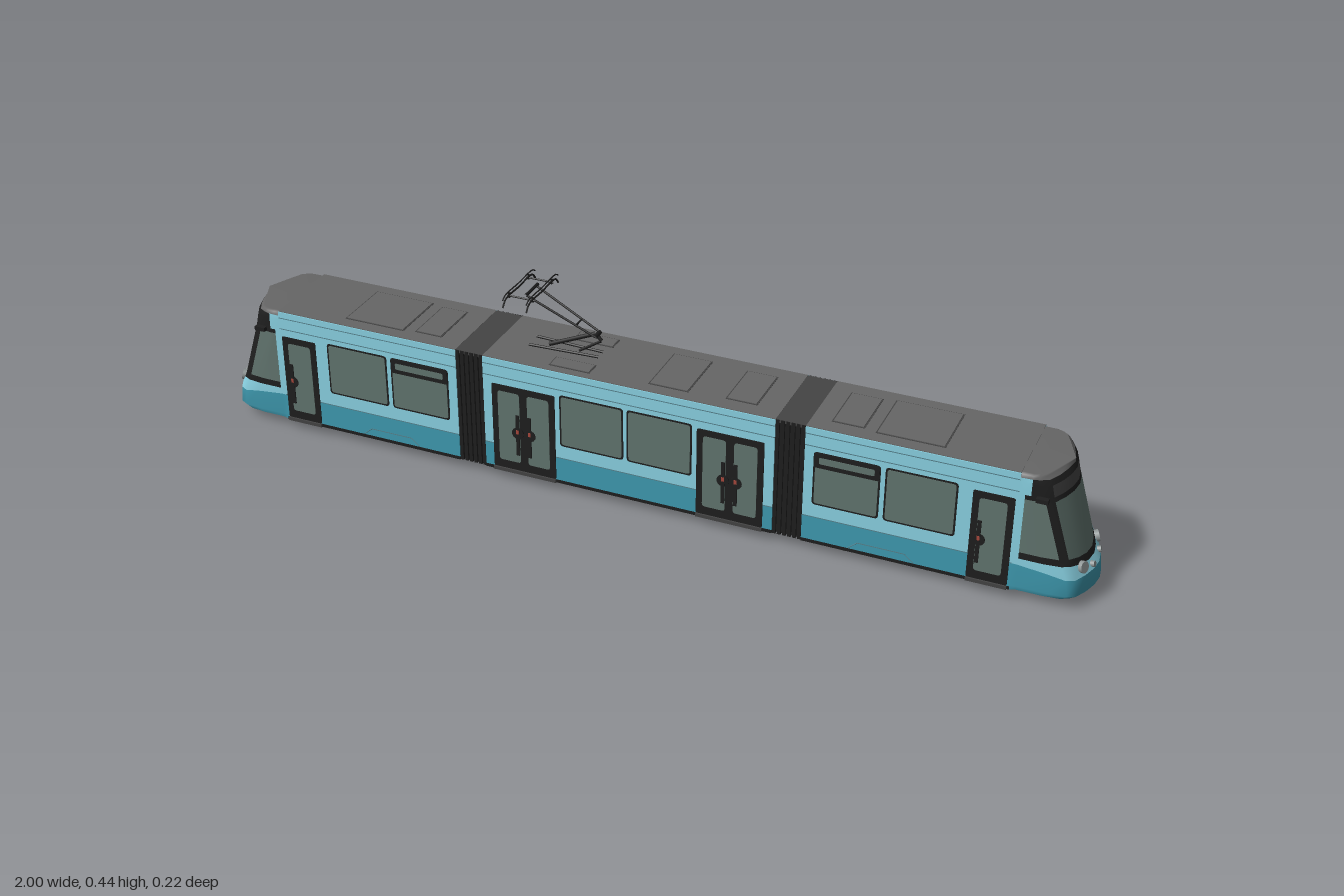
import * as THREE from 'three';
import { mergeVertices } from 'three/addons/utils/BufferGeometryUtils.js';

const mat = (color, side = THREE.FrontSide) => new THREE.MeshStandardMaterial({ color, side });
const M = {
  light: mat(0x8ad3e4), teal: mat(0x3f9bb1), black: mat(0x1e1e1e), glass: mat(0x62756f),
  roof: mat(0x666666), dark: mat(0x444444), trim: mat(0x55818c), lamp: mat(0x8f9696), red: mat(0xa8483c),
};

function add(parent, name, geometry, material) {
  const m = new THREE.Mesh(geometry, material);
  m.name = name;
  parent.add(m);
  return m;
}

// Box given by its limits on each axis
function box(parent, name, material, x0, x1, y0, y1, z0, z1) {
  const m = add(parent, name, new THREE.BoxGeometry(x1 - x0, y1 - y0, z1 - z0), material);
  m.position.set((x0 + x1) / 2, (y0 + y1) / 2, (z0 + z1) / 2);
  return m;
}

// Straight round bar between two points
function rod(parent, name, a, b, r, material = M.black) {
  const path = new THREE.LineCurve3(new THREE.Vector3(...a), new THREE.Vector3(...b));
  return add(parent, name, new THREE.TubeGeometry(path, 1, r, 8), material);
}

// Rounded panel on the +z wall, its outer face at z
function pane(parent, name, material, x0, x1, y0, y1, z, r = 0.008) {
  const s = new THREE.Shape();
  s.moveTo(x0 + r, y0);
  s.lineTo(x1 - r, y0); s.quadraticCurveTo(x1, y0, x1, y0 + r);
  s.lineTo(x1, y1 - r); s.quadraticCurveTo(x1, y1, x1 - r, y1);
  s.lineTo(x0 + r, y1); s.quadraticCurveTo(x0, y1, x0, y1 - r);
  s.lineTo(x0, y0 + r); s.quadraticCurveTo(x0, y0, x0 + r, y0);
  const g = new THREE.ExtrudeGeometry(s, { depth: z - 0.098, bevelEnabled: false, curveSegments: 4 });
  return add(parent, name, g.translate(0, 0, 0.098), material);
}

function sideWindow(parent, x0, x1, hopper) {
  pane(parent, 'windowFrame', M.black, x0, x1, 0.117, 0.243, 0.1007);
  pane(parent, 'windowGlass', M.glass, x0 + 0.004, x1 - 0.004, 0.121, 0.239, 0.1014, 0.006);
  if (hopper) {
    pane(parent, 'hopperFrame', M.black, x0 + 0.002, x1 - 0.002, 0.207, 0.241, 0.102, 0.005);
    pane(parent, 'hopperGlass', M.glass, x0 + 0.012, x1 - 0.012, 0.217, 0.232, 0.1026, 0.004);
  }
}

function door(parent, x0, x1, leaves) {
  const g = new THREE.Group();
  g.name = 'door';
  parent.add(g);
  pane(g, 'doorFrame', M.black, x0, x1, 0.03, 0.237, 0.1015, 0.004);
  box(g, 'doorStep', M.dark, x0, x1, 0.022, 0.03, 0.095, 0.105);
  const w = (x1 - x0 - 0.01) / leaves;
  for (let i = 0; i < leaves; i++) {
    const a = x0 + 0.005 + i * w;
    pane(g, 'doorGlass', M.glass, a + 0.009, a + w - 0.009, 0.05, 0.222, 0.1022, 0.007);
    const h = leaves === 1 || i === 1 ? a + 0.014 : a + w - 0.014;
    box(g, 'doorHandle', M.black, h - 0.004, h + 0.004, 0.07, 0.17, 0.1, 0.1045);
    const d = add(g, 'handlePlate', new THREE.CylinderGeometry(0.014, 0.014, 0.004, 16), M.black);
    d.rotation.x = Math.PI / 2;
    d.position.set(h, 0.125, 0.102);
    box(g, 'doorButton', M.red, h - 0.003, h + 0.003, 0.124, 0.134, 0.1, 0.1052);
  }
}

// Everything mounted on one long wall
function createSide() {
  const g = new THREE.Group();
  g.name = 'sideFittings';
  for (const s of [-1, 1]) {
    const span = (f, a, b, ...rest) => f(g, Math.min(s * a, s * b), Math.max(s * a, s * b), ...rest);
    span(door, 0.75, 0.835, 1);
    span(sideWindow, 0.57, 0.72, false);
    span(sideWindow, 0.418, 0.56, true);
    span(door, 0.163, 0.312, 2);
    span(sideWindow, 0.004, 0.152, false);
    // Skirt panel over the bogie
    box(g, 'skirtSeam', M.trim, s * 0.57 - 0.05, s * 0.57 + 0.05, 0.046, 0.048, 0.099, 0.1005);
    for (const e of [-1, 1]) rod(g, 'skirtSeam', [s * 0.57 + e * 0.05, 0.047, 0.1], [s * 0.57 + e * 0.07, 0.03, 0.1], 0.001, M.trim);
  }
  for (const [x0, x1] of SECTIONS) {
    for (const y of [0.254, 0.281]) box(g, 'trimLine', M.trim, x0, x1, y, y + 0.0018, 0.099, 0.1006);
    box(g, 'waistLine', M.trim, x0, x1, 0.085, 0.0868, 0.099, 0.1006);
  }
  return g;
}

const SECTIONS = [[-0.84, -0.398], [-0.333, 0.333], [0.398, 0.84]];

// Cab shell: rings of [height, nose x, width scale], each ring following one plan outline
const RINGS = [[0.022, 0.986, 0.96], [0.032, 1, 0.99], [0.07, 0.995, 1], [0.1, 0.983, 1], [0.115, 0.977, 1],
  [0.24, 0.938, 1], [0.25, 0.935, 1], [0.276, 0.929, 1], [0.287, 0.922, 0.99], [0.294, 0.9, 0.97], [0.297, 0.86, 0.92]];
const PLAN = [[0, 0.1], [0, 0.1], [-0.08, 0.1], [-0.045, 0.096], [-0.028, 0.087], [-0.014, 0.06], [-0.004, 0.03], [0, 0]];
const LAST = 2 * PLAN.length - 2;

function cabPoint(r, c) {
  const k = Math.min(c, LAST - c);
  const [h, nose, scale] = RINGS[r];
  const [dx, hz] = PLAN[k];
  const back = 0.84 + k * 0.012;
  let y = h;
  if (r === 2 && k < 3) y = [0.085, 0.085, 0.078][k];
  if ((r === 3 || r === 4) && k > 3) y -= 0.013 * (1 - (hz / 0.087) ** 2);
  const z = (k === 0 && r < 9 ? hz : hz * scale) * (c < PLAN.length ? 1 : -1);
  return [k < 2 ? back : Math.max(back, nose + dx), y, z];
}

function cabPart(r, c) {
  const k = Math.min(c, LAST - 1 - c);
  if (r < 2) return ['cabLowerPanel', M.teal];
  if (r === 2 || (r < 8 && k < 1)) return ['cabUpperPanel', M.light];
  if (r === 4 && k < 3) return ['cabSideWindow', M.glass];
  if (r === 4 && k > 3) return ['windscreen', M.glass];
  if (r > 5 && r < 8 && k < 2) return ['cabUpperPanel', M.light];
  if (r === 6 && k > 3) return ['signPanel', M.dark];
  return r < 8 ? ['cabSurround', M.black] : ['cabRoof', M.roof];
}

function createCab() {
  const g = new THREE.Group();
  g.name = 'cab';
  const parts = new Map();
  const push = ([name, material], ...pts) => {
    if (!parts.has(name)) parts.set(name, { material, data: [] });
    for (const p of pts) parts.get(name).data.push(...p);
  };
  const top = RINGS.length - 1;
  for (let c = 0; c < LAST; c++) {
    for (let r = 0; r < top; r++) {
      const a = cabPoint(r, c), b = cabPoint(r, c + 1), d = cabPoint(r + 1, c + 1), e = cabPoint(r + 1, c);
      push(cabPart(r, c), a, b, d, a, d, e);
    }
    push(['cabRoof', M.roof], [0.84, 0.297, 0], cabPoint(top, c), cabPoint(top, c + 1));
    push(['cabFloor', M.black], [0.84, 0.022, 0], cabPoint(0, c + 1), cabPoint(0, c));
  }
  for (const [name, { material, data }] of parts) {
    let geo = new THREE.BufferGeometry();
    geo.setAttribute('position', new THREE.Float32BufferAttribute(data, 3));
    geo = mergeVertices(geo, 1e-5);
    geo.computeVertexNormals();
    add(g, name, geo, mat(material.color.getHex(), THREE.DoubleSide));
  }
  // Lamps and side cameras
  for (const s of [-1, 1]) {
    for (const [x, y, z, r, yaw] of [[0.973, 0.088, 0.06, 0.0125, 0.4], [0.986, 0.079, 0.028, 0.0065, 0.15]]) {
      const lamp = add(g, 'headlight', new THREE.CylinderGeometry(r, r, 0.012, 20).rotateZ(-Math.PI / 2), M.lamp);
      lamp.position.set(x, y, s * z);
      lamp.rotation.set(0, -s * yaw, 0.25, 'YXZ');
    }
    box(g, 'sideCamera', M.black, 0.875, 0.9, 0.243, 0.252, s * 0.103 - 0.006, s * 0.103 + 0.006);
  }
  return g;
}

function createBogie(x) {
  const g = new THREE.Group();
  g.name = 'bogie';
  for (const s of [-1, 1]) {
    box(g, 'bogieRail', M.dark, -0.13, 0.13, 0.012, 0.022, s * 0.052 - 0.005, s * 0.052 + 0.005);
    box(g, 'bogieCrossbar', M.dark, s * 0.125 - 0.005, s * 0.125 + 0.005, 0.013, 0.022, -0.055, 0.055);
    rod(g, 'axle', [s * 0.088, 0.026, -0.06], [s * 0.088, 0.026, 0.06], 0.006);
    for (const t of [-1, 1]) {
      const w = add(g, 'wheel', new THREE.CylinderGeometry(0.026, 0.026, 0.011, 24).rotateX(Math.PI / 2), M.dark);
      w.position.set(s * 0.088, 0.026, t * 0.066);
    }
    box(g, 'trackBrake', M.black, -0.05, 0.05, 0.009, 0.022, s * 0.07 - 0.005, s * 0.07 + 0.005);
  }
  g.position.x = x;
  return g;
}

function createPantograph() {
  const g = new THREE.Group();
  g.name = 'pantograph';
  for (const s of [-1, 1]) {
    rod(g, 'baseRail', [-0.26, 0.301, s * 0.02], [-0.1, 0.301, s * 0.012], 0.003);
    rod(g, 'upperArm', [-0.105, 0.347, s * 0.012], [-0.26, 0.421, s * 0.024], 0.0025);
    rod(g, 'headLink', [-0.295, 0.425, s * 0.046], [-0.23, 0.425, s * 0.046], 0.002);
  }
  rod(g, 'lowerArm', [-0.22, 0.301, 0], [-0.11, 0.35, 0], 0.005);
  rod(g, 'couplingRod', [-0.15, 0.3, 0], [-0.097, 0.335, 0], 0.003);
  rod(g, 'kneeLink', [-0.097, 0.335, 0], [-0.112, 0.35, 0], 0.004);
  rod(g, 'kneeShaft', [-0.108, 0.347, -0.014], [-0.108, 0.347, 0.014], 0.005);
  rod(g, 'armBrace', [-0.15, 0.3685, -0.015], [-0.15, 0.3685, 0.015], 0.002);
  rod(g, 'headShaft', [-0.26, 0.423, -0.03], [-0.26, 0.423, 0.03], 0.0035);
  // Contact strips with horns bent down at the ends
  for (const x of [-0.29, -0.235]) {
    const bar = (name, pts, r) => add(g, name, new THREE.TubeGeometry(
      new THREE.CatmullRomCurve3(pts.map(([y, z]) => new THREE.Vector3(x, y, z))), 28, r, 6), M.black);
    bar('contactStrip', [[0.427, -0.078], [0.434, -0.066], [0.434, 0], [0.434, 0.066], [0.427, 0.078]], 0.0015);
    bar('hornBar', [[0.41, -0.078], [0.424, -0.064], [0.425, 0], [0.424, 0.064], [0.41, 0.078]], 0.002);
    for (const z of [-0.046, 0.046]) rod(g, 'stripPost', [x, 0.421, z], [x, 0.434, z], 0.0025);
  }
  return g;
}

export function createModel() {
  const tram = new THREE.Group();
  tram.name = 'tram';
  // Three body sections
  for (const [x0, x1] of SECTIONS) {
    box(tram, 'floor', M.black, x0, x1, 0.021, 0.029, -0.1, 0.1);
    box(tram, 'lowerBody', M.teal, x0, x1, 0.029, 0.086, -0.1, 0.1);
    box(tram, 'upperBody', M.light, x0, x1, 0.086, 0.2965, -0.1, 0.1);
    box(tram, 'roof', M.roof, x0, x1, 0.2965, 0.298, -0.098, 0.098);
  }
  // Folded gangways
  for (const s of [-1, 1]) {
    box(tram, 'gangwayCore', M.black, s * 0.3655 - 0.0335, s * 0.3655 + 0.0335, 0.024, 0.292, -0.094, 0.094);
    for (let i = 0; i < 6; i++) {
      const x = s * 0.3655 + (i - 2.5) * 0.0112;
      box(tram, 'gangwayFold', M.black, x - 0.0038, x + 0.0038, 0.022, 0.297, -0.099, 0.099);
    }
    box(tram, 'gangwayRoof', M.dark, s * 0.3655 - 0.0335, s * 0.3655 + 0.0335, 0.29, 0.2975, -0.097, 0.097);
    tram.add(createBogie(s * 0.572));
    const cab = createCab(), side = createSide();
    cab.rotation.y = side.rotation.y = s > 0 ? 0 : Math.PI;
    tram.add(cab, side);
  }
  // Roof hatches, each on a dark rim
  const hatches = [[-0.685, -0.54, -0.07, 0.07], [-0.515, -0.45, -0.063, 0.063], [-0.185, -0.09, -0.08, -0.042],
    [-0.185, -0.09, 0.042, 0.08], [0.04, 0.13, -0.07, 0.07], [0.21, 0.28, -0.063, 0.063],
    [0.44, 0.51, -0.063, 0.063], [0.535, 0.68, -0.07, 0.07]];
  for (const [x0, x1, z0, z1] of hatches) {
    box(tram, 'hatchRim', M.dark, x0, x1, 0.297, 0.2987, z0, z1);
    box(tram, 'roofHatch', M.roof, x0 + 0.003, x1 - 0.003, 0.297, 0.3, z0 + 0.003, z1 - 0.003);
  }
  tram.add(createPantograph());
  return tram;
}
